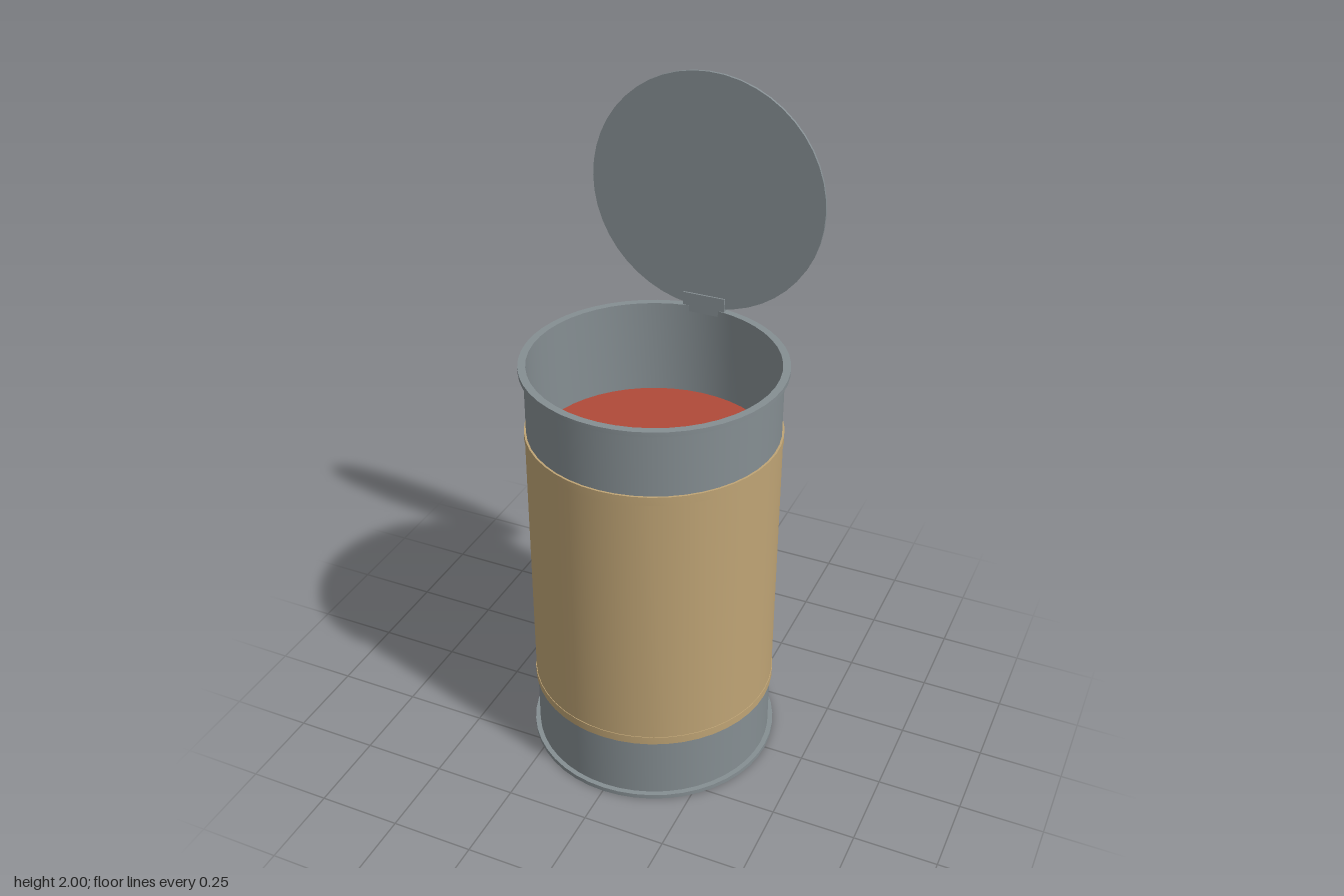
import * as THREE from 'three';
import { toCreasedNormals } from 'three/addons/utils/BufferGeometryUtils.js';

const metal = new THREE.MeshStandardMaterial({ color: 0x858e92 });
const paper = new THREE.MeshStandardMaterial({ color: 0xbfa475 });
const red = new THREE.MeshStandardMaterial({ color: 0xb04a39 });

// Revolved part; the profile runs counter-clockwise as [radius, height]
function turned(name, profile, material) {
  const points = profile.map(([r, y]) => new THREE.Vector2(r, y));
  const geometry = toCreasedNormals(new THREE.LatheGeometry(points, 48), 0.5);
  const mesh = new THREE.Mesh(geometry, material);
  mesh.name = name;
  return mesh;
}

export function createModel() {
  const model = new THREE.Group();
  model.name = 'openCan';

  // Can shell: bottom, rolled rims, outer wall, open mouth and inner wall
  model.add(turned('canBody', [
    [0, 0], [0.378, 0], [0.378, 0.014], [0.363, 0.014],
    [0.363, 1.275], [0.378, 1.275], [0.378, 1.289], [0.356, 1.289],
    [0.356, 0.98], [0, 0.98],
  ], metal));

  // Paper wrapper with slightly raised bands at both edges
  model.add(turned('wrapper', [
    [0.362, 0.21], [0.369, 0.21], [0.369, 0.236], [0.367, 0.236],
    [0.367, 1.056], [0.369, 1.056], [0.369, 1.082], [0.362, 1.082],
  ], paper));

  // Contents surface
  const contents = new THREE.Mesh(new THREE.CircleGeometry(0.357, 48), red);
  contents.name = 'contents';
  contents.rotation.x = -Math.PI / 2;
  contents.position.y = 1.0;
  model.add(contents);

  // Upright lid: flat plate in front, raised ring around a recess behind
  const lid = turned('lid', [
    [0, 0], [0.355, 0], [0.355, 0.008], [0.34, 0.008],
    [0.34, 0.016], [0.325, 0.016], [0.325, 0.008], [0, 0.008],
  ], metal);
  lid.rotation.x = -Math.PI / 2;
  lid.position.set(0, 1.645, -0.358);
  model.add(lid);

  // Hinge tab joining the lid to the rim
  const hinge = new THREE.Mesh(new THREE.BoxGeometry(0.13, 0.06, 0.024), metal);
  hinge.name = 'hingeTab';
  hinge.position.set(0, 1.3, -0.365);
  model.add(hinge);

  return model;
}
